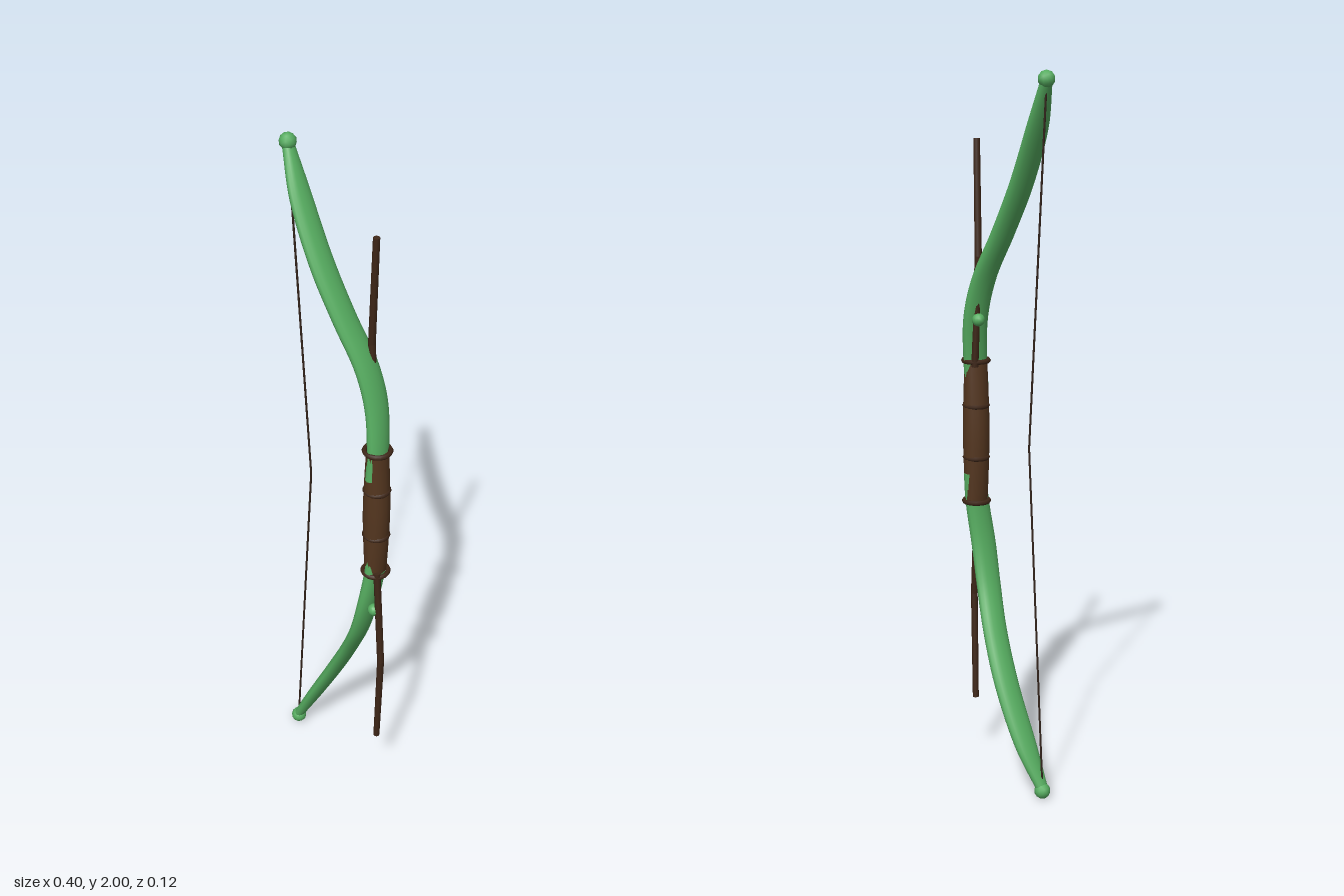
import * as THREE from 'three';

const GRIP_X = 0.14;

// Sweeps an oval along a path; each station is [x, y, z, half thickness, half width].
function ovalSweep(stations, steps, sides) {
  const path = new THREE.CatmullRomCurve3(stations.map(([x, y, z]) => new THREE.Vector3(x, y, z)));
  const size = new THREE.CatmullRomCurve3(stations.map((s, i) => new THREE.Vector3(s[3], s[4], i)));
  const pos = [], index = [];
  for (let i = 0; i <= steps; i++) {
    const t = i / steps;
    const p = path.getPoint(t), d = path.getTangent(t), r = size.getPoint(t);
    const len = Math.hypot(d.x, d.y);
    const nx = d.y / len, ny = -d.x / len; // thickness direction, in the xy plane
    for (let j = 0; j < sides; j++) {
      const a = (j / sides) * Math.PI * 2;
      const c = Math.cos(a) * r.x;
      pos.push(p.x + nx * c, p.y + ny * c, p.z + Math.sin(a) * r.y);
      if (i < steps) {
        const k = (j + 1) % sides, b = i * sides, n = b + sides;
        index.push(b + j, n + j, b + k, b + k, n + j, n + k);
      }
    }
  }
  // end caps on their own vertices, for crisp edges
  for (const [ring, t, flip] of [[0, 0, false], [steps, 1, true]]) {
    const base = pos.length / 3, c = path.getPoint(t);
    for (let j = 0; j < sides; j++) {
      const o = (ring * sides + j) * 3;
      pos.push(pos[o], pos[o + 1], pos[o + 2]);
    }
    pos.push(c.x, c.y, c.z);
    for (let j = 0; j < sides; j++) {
      const k = (j + 1) % sides;
      if (flip) index.push(base + sides, base + k, base + j);
      else index.push(base + sides, base + j, base + k);
    }
  }
  const g = new THREE.BufferGeometry();
  g.setAttribute('position', new THREE.Float32BufferAttribute(pos, 3));
  g.setIndex(index);
  g.computeVertexNormals();
  return g;
}

export function createModel() {
  const material = (name, color) => {
    const m = new THREE.MeshStandardMaterial({ color });
    m.name = name;
    return m;
  };
  const green = material('green wood', 0x56ad60);
  const leather = material('brown leather', 0x54361f);
  const bark = material('dark bark', 0x3f2718);
  const cord = material('dark cord', 0x33231a);

  const model = new THREE.Group();
  model.name = 'bow';
  const add = (parent, name, geometry, mat) => {
    const m = new THREE.Mesh(geometry, mat);
    m.name = name;
    parent.add(m);
    return m;
  };

  // straight rod between two points
  const rod = (parent, name, a, b, r0, r1, sides, mat) => {
    const from = new THREE.Vector3(...a), to = new THREE.Vector3(...b);
    const dir = to.clone().sub(from);
    const m = add(parent, name, new THREE.CylinderGeometry(r1, r0, dir.length(), sides), mat);
    m.position.copy(from).add(to).multiplyScalar(0.5);
    m.quaternion.setFromUnitVectors(new THREE.Vector3(0, 1, 0), dir.normalize());
  };

  // Heights here are measured from the middle of the grip.
  const limb = ovalSweep([
    [0.14, 0.12, 0.004, 0.022, 0.036],
    [0.14, 0.2, -0.002, 0.022, 0.037],
    [0.122, 0.33, -0.012, 0.021, 0.039],
    [0.09, 0.44, -0.006, 0.02, 0.039],
    [0.03, 0.565, 0.013, 0.02, 0.038],
    [-0.04, 0.7, 0.023, 0.02, 0.038],
    [-0.12, 0.855, 0.016, 0.018, 0.034],
    [-0.178, 0.972, 0, 0.014, 0.017],
  ], 48, 16);

  // The lower half is the upper half turned half a turn about x.
  for (const [side, turn, mirror] of [['upper', 0, 1], ['lower', Math.PI, -1]]) {
    const half = new THREE.Group();
    half.name = side + 'Half';
    half.position.y = 1;
    half.rotation.x = turn;
    model.add(half);

    add(half, side + 'Limb', limb, green);
    const tip = add(half, side + 'Tip', new THREE.IcosahedronGeometry(0.023, 1), green);
    tip.position.set(-0.178, 0.977, 0);
    const bud = add(half, side + 'Bud', new THREE.SphereGeometry(0.018, 12, 8), green);
    bud.position.set(mirror > 0 ? 0.095 : 0.157, 0.325, -0.022);

    // bent twig growing out of the grip, on opposite sides above and below
    const twig = [[-0.024, 0.19, -0.02], [-0.048, 0.5, -0.024], [-0.027, 0.815, -0.013]]
      .map(([x, y, z]) => [GRIP_X + x * mirror, y, z]);
    rod(half, side + 'TwigBase', twig[0], twig[1], 0.01, 0.01, 8, bark);
    rod(half, side + 'TwigEnd', twig[1], twig[2], 0.01, 0.009, 8, bark);
    const knee = add(half, side + 'TwigBend', new THREE.SphereGeometry(0.01, 8, 6), bark);
    knee.position.set(...twig[1]);

    rod(half, side + 'String', [-0.11, 0, 0], [-0.178, 0.965, 0], 0.003, 0.003, 6, cord);

    // binding rings
    for (const [name, y, r] of [['EndRing', 0.203, 0.035], ['WrapRing', 0.075, 0.032]]) {
      const ring = add(half, side + name, new THREE.TorusGeometry(r, 0.007, 6, 20), bark);
      ring.position.set(GRIP_X, y, 0);
      ring.rotation.x = Math.PI / 2;
    }
  }

  // leather grip, swelling in the middle
  add(model, 'grip', ovalSweep([
    [GRIP_X, 0.8, 0, 0.026, 0.035],
    [GRIP_X, 0.9, 0, 0.033, 0.037],
    [GRIP_X, 1.0, 0, 0.037, 0.038],
    [GRIP_X, 1.1, 0, 0.033, 0.037],
    [GRIP_X, 1.2, 0, 0.026, 0.035],
  ], 16, 14), leather);

  return model;
}
